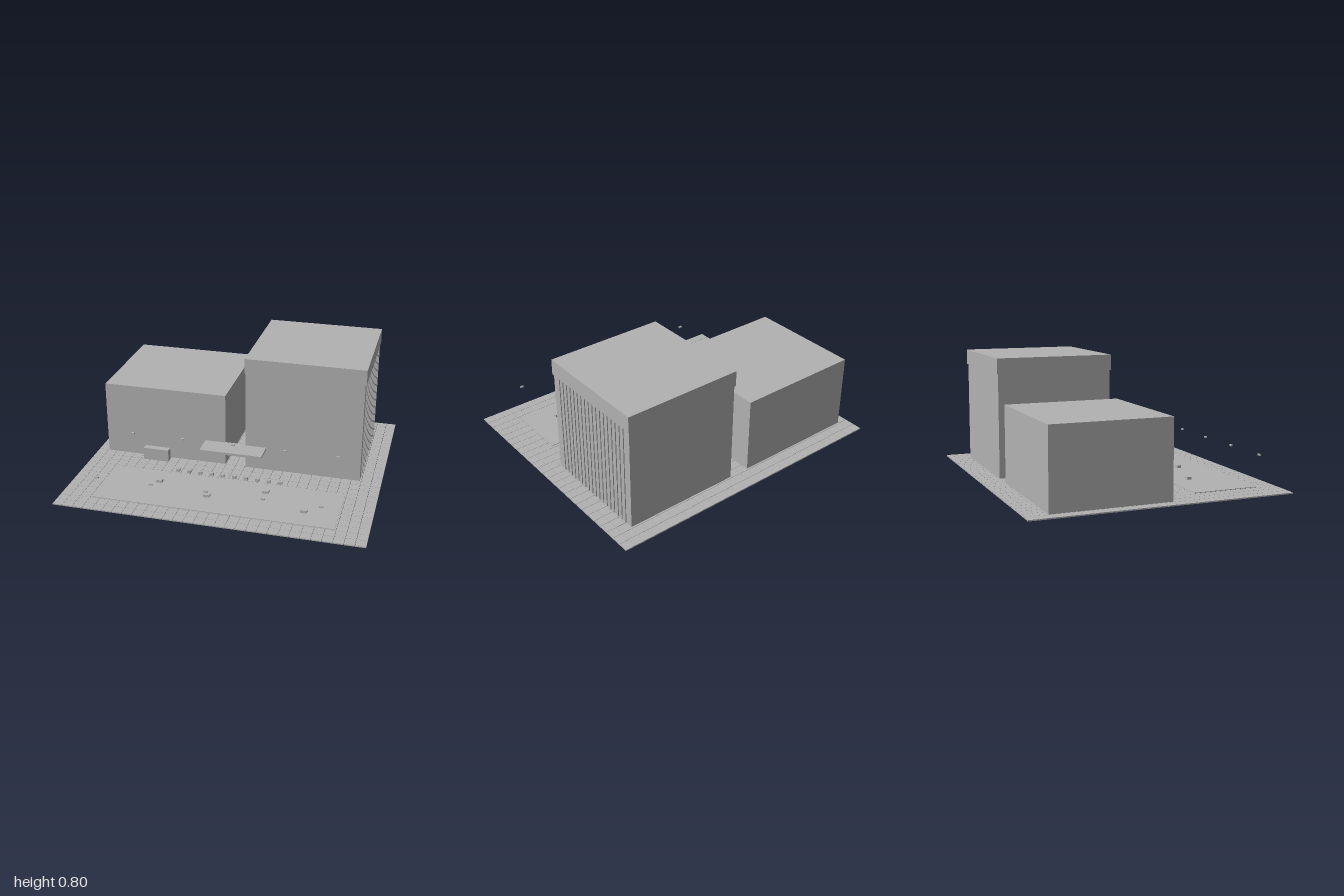
import * as THREE from 'three';
import { mergeGeometries } from 'three/addons/utils/BufferGeometryUtils.js';

export function createModel() {
  const model = new THREE.Group();
  model.name = 'civicPlaza';
  const concrete = new THREE.MeshStandardMaterial({ color: 0xb2b2b2 });
  concrete.name = 'concrete grey';

  // Box from its limits on each axis
  const box = (x0, x1, y0, y1, z0, z1) =>
    new THREE.BoxGeometry(x1 - x0, y1 - y0, z1 - z0)
      .translate((x0 + x1) / 2, (y0 + y1) / 2, (z0 + z1) / 2);
  const add = (name, geometry) => {
    const mesh = new THREE.Mesh(geometry, concrete);
    mesh.name = name;
    model.add(mesh);
  };

  // Paving: 30 x 26 slabs with narrow joints
  const top = 0.008, depth = 0.857, cols = 30, rows = 26, joint = 0.001;
  const px = 2 / cols, pz = 2 * depth / rows;
  const slabs = [];
  for (let i = 0; i < cols; i++) {
    for (let j = 0; j < rows; j++) {
      const x = -1 + i * px, z = -depth + j * pz;
      slabs.push(box(x + (i ? joint : 0), x + px - (i < cols - 1 ? joint : 0), 0, top,
        z + (j ? joint : 0), z + pz - (j < rows - 1 ? joint : 0)));
    }
  }
  add('pavingSlabs', mergeGeometries(slabs));
  add('forecourt', box(-0.79, 0.79, 0.004, 0.012, 0.283, 0.717));

  // Buildings
  add('lowBlock', box(-0.928, -0.072, top, 0.52, -0.714, 0.066));
  add('tallBlock', box(0.07, 0.856, top, 0.7, -0.713, 0.073));
  add('roofBand', box(0.064, 0.863, 0.7, 0.804, -0.72, 0.08));

  // Vertical fins on the side of the tall block
  const fins = [];
  for (let i = 0; i < 18; i++) {
    const z = 0.011 - i * 0.0393;
    fins.push(box(0.854, 0.862, top, 0.7, z - 0.004, z + 0.004));
  }
  add('facadeFins', mergeGeometries(fins));

  // Entrance canopy and sign block
  add('entranceCanopy', box(-0.214, 0.214, 0.156, 0.173, 0.06, 0.213));
  add('signBlock', box(-0.642, -0.464, top, 0.093, 0.09, 0.135));

  // Row of bollards
  const bollards = [];
  for (let i = 0; i < 10; i++) {
    const x = -0.357 + i * 0.0789;
    bollards.push(box(x - 0.013, x + 0.013, top, 0.029, 0.239, 0.259));
  }
  add('bollards', mergeGeometries(bollards));

  // Benches on the forecourt
  add('benches', mergeGeometries(
    [[-0.429, 0.424], [-0.071, 0.532], [0.286, 0.391], [0.571, 0.567]].map(([x, z]) =>
      box(x - 0.021, x + 0.021, 0.01, 0.03, z - 0.014, z + 0.014))));

  // Two rows of lamp heads
  const lamps = [];
  for (const z of [0.141, 0.786]) {
    for (let i = -2; i <= 2; i++) {
      const x = i * 0.357;
      lamps.push(box(x - 0.012, x + 0.012, 0.194, 0.205, z - 0.006, z + 0.006));
    }
  }
  add('lampHeads', mergeGeometries(lamps));

  return model;
}
